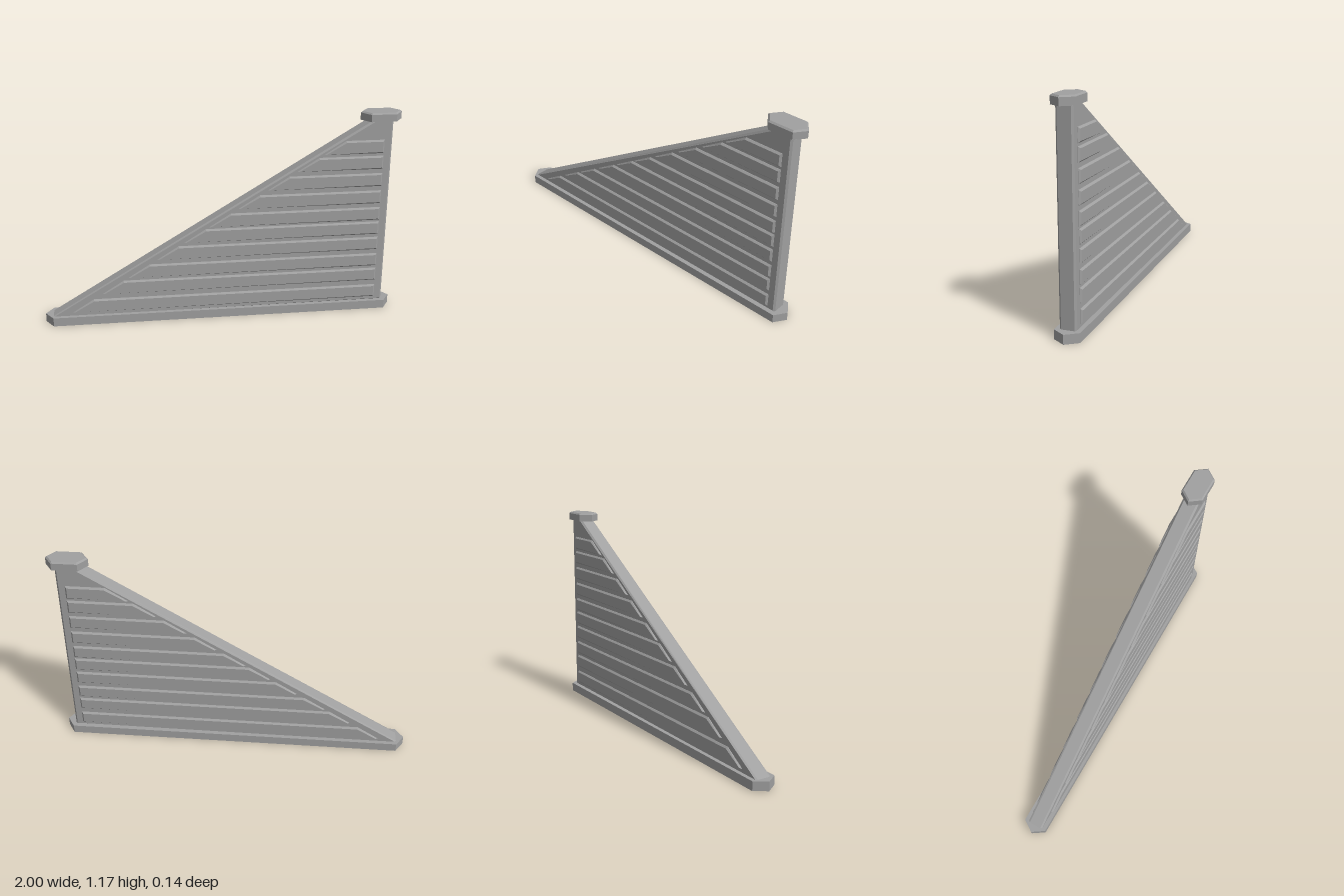
import * as THREE from 'three';

// Polygon in the xy plane, thickened evenly about z = 0, with chamfered edges
function slab(points, halfDepth, bevel) {
  const shape = new THREE.Shape(points.map(([x, y]) => new THREE.Vector2(x, y)));
  const geometry = new THREE.ExtrudeGeometry(shape, {
    depth: 2 * (halfDepth - bevel),
    bevelEnabled: bevel > 0,
    bevelThickness: bevel,
    bevelSize: bevel,
    bevelOffset: -bevel,
    bevelSegments: 1,
  });
  return geometry.translate(0, 0, -(halfDepth - bevel));
}

// Elongated hexagon footprint, pointed at both x ends
function hexagon(x0, x1, point, halfWidth) {
  return [
    [x0, 0], [x0 + point, -halfWidth], [x1 - point, -halfWidth],
    [x1, 0], [x1 - point, halfWidth], [x0 + point, halfWidth],
  ];
}

// Hexagonal block standing from y0 to y1, with an optional chamfer on its top
function hexBlock(x0, x1, point, halfWidth, y0, y1, bevel) {
  const height = y1 - y0;
  const geometry = slab(hexagon(x0, x1, point, halfWidth), height / 2 + bevel / 2, bevel);
  geometry.rotateX(-Math.PI / 2).translate(0, (y0 + y1) / 2 - bevel / 2, 0);
  if (bevel > 0) {
    // Square off the lower chamfer so that only the top edge slopes
    const p = geometry.attributes.position;
    for (let i = 0; i < p.count; i++) {
      if (p.getY(i) < y0 - bevel / 2) {
        const x = p.getX(i), z = p.getZ(i), mid = (x0 + x1) / 2;
        p.setXYZ(i, mid + (x - mid) * ((x1 - x0) / (x1 - x0 - 2.2 * bevel)), y0,
          z * (halfWidth / (halfWidth - bevel)));
      }
    }
    geometry.computeVertexNormals();
  }
  return geometry;
}

export function createModel() {
  const group = new THREE.Group();
  const grey = new THREE.MeshStandardMaterial({ color: 0xa0a0a0 });
  grey.name = 'grey';

  const add = (name, geometry) => {
    const mesh = new THREE.Mesh(geometry, grey);
    mesh.name = name;
    group.add(mesh);
  };

  // Pointed plinth and post cap
  add('base', hexBlock(-1, 1, 0.045, 0.068, 0, 0.05, 0));
  add('cap', hexBlock(0.77, 1, 0.045, 0.062, 1.127, 1.175, 0.008));

  // Triangular wall, cut off under the cap
  add('wall', slab([[-0.965, 0.044], [0.945, 0.044], [0.945, 1.14], [0.85, 1.14]], 0.045, 0.01));

  // Raised planks, passing through the wall to show on both faces
  const rows = [0.07, 0.176, 0.268, 0.37, 0.465, 0.552, 0.652, 0.754, 0.855, 0.946];
  rows.forEach((y, i) => {
    const left = -0.845 + (y - 0.07) * 1.61;
    const top = y + 0.076;
    add(`plank${i + 1}`, slab([[left, y], [0.9, y], [0.9, top], [left + 0.12, top]], 0.056, 0.009));
  });

  return group;
}
